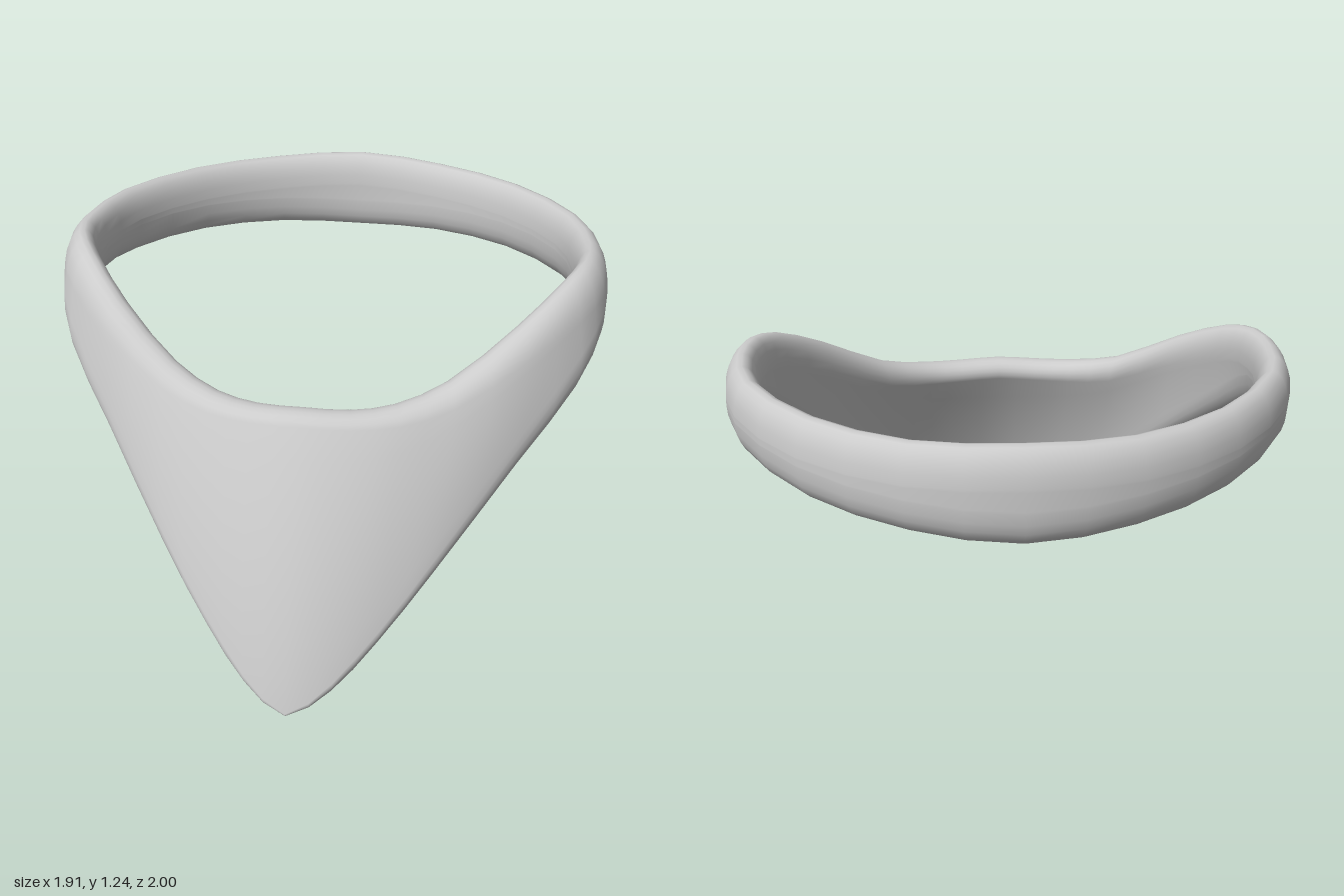
import * as THREE from 'three';

// Rails of one half, from the middle of the back to the front point: lower edge, upper edge
const RAILS = [
  [[0, 0.915, -0.945], [0, 1.225, -0.945]],
  [[0.325, 0.935, -0.88], [0.325, 1.215, -0.88]],
  [[0.62, 0.96, -0.695], [0.62, 1.22, -0.695]],
  [[0.83, 0.985, -0.41], [0.83, 1.23, -0.41]],
  [[0.9, 1.0, -0.16], [0.885, 1.235, -0.16]],
  [[0.9, 0.95, 0.05], [0.865, 1.24, 0.0]],
  [[0.84, 0.855, 0.21], [0.8, 1.215, 0.12]],
  [[0.665, 0.665, 0.41], [0.66, 1.125, 0.28]],
  [[0.43, 0.4, 0.68], [0.45, 0.99, 0.43]],
  [[0.27, 0.21, 0.825], [0.29, 0.945, 0.52]],
  [[0.14, 0.075, 0.915], [0.15, 0.935, 0.56]],
  [[0, 0, 0.96], [0, 0.94, 0.573]],
];

// Mirror one rail into a closed smooth curve
function closedRail(k) {
  const half = RAILS.map((r) => new THREE.Vector3(...r[k]));
  const other = half.slice(1, -1).reverse().map((p) => new THREE.Vector3(-p.x, p.y, p.z));
  return new THREE.CatmullRomCurve3([...half, ...other], true, 'centripetal');
}

// One side of a section: [height fraction, half-thickness fraction], with rounded ends
function sideProfile(capLow, capHigh) {
  const pts = [];
  const capSteps = 5, wallSteps = 8;
  for (let i = 0; i <= capSteps; i++) {
    const a = (i / capSteps) * Math.PI / 2;
    pts.push([capLow * (1 - Math.cos(a)), Math.sin(a)]);
  }
  for (let i = 1; i < wallSteps; i++) pts.push([capLow + (1 - capLow - capHigh) * i / wallSteps, 1]);
  for (let i = capSteps; i >= 0; i--) {
    const a = (i / capSteps) * Math.PI / 2;
    pts.push([1 - capHigh * (1 - Math.cos(a)), Math.sin(a)]);
  }
  return pts;
}

function ringGeometry() {
  const { lerp, smoothstep } = THREE.MathUtils;
  const lower = closedRail(0), upper = closedRail(1);
  const N = 44;
  const mid = (t) => lower.getPoint((t + 1) % 1).add(upper.getPoint((t + 1) % 1));
  const pos = [], index = [];
  let M = 0;
  for (let i = 0; i < N; i++) {
    const t = i / N;
    const b = lower.getPoint(t), e = upper.getPoint(t);
    const up = e.clone().sub(b);
    const height = up.length();
    const tangent = mid(t + 0.025).sub(mid(t - 0.025));
    const out = up.clone().cross(tangent).normalize();
    // the tall front thins toward its lower edge, bows outward and ends in a flat-cut tip
    const front = smoothstep(height, 0.3, 0.95);
    const tip = front * Math.max(0, 1 - Math.abs(b.x) / 0.2);
    const lowHalf = lerp(0.057, 0.038, front);
    const capLow = lerp(lerp(0.115, 0.05, front), 0.02, tip) / height;
    const capHigh = lerp(0.115, 0.055, front) / height;
    const bow = 0.035 * height * height;
    const side = sideProfile(Math.min(capLow, 0.45), Math.min(capHigh, 0.45));
    const loop = [...side, ...side.slice(1, -1).reverse().map(([u, w]) => [u, -w])];
    M = loop.length;
    for (const [u, w] of loop) {
      const n = out.clone();
      n.y *= lerp(1, smoothstep(u, 0, 0.2), tip);
      n.normalize();
      const p = b.clone().lerp(e, u);
      p.addScaledVector(n, w * lerp(lowHalf, 0.056, u) + bow * 4 * u * (1 - u));
      pos.push(p.x, p.y, p.z);
    }
  }
  for (let i = 0; i < N; i++) {
    for (let j = 0; j < M; j++) {
      const i2 = (i + 1) % N, j2 = (j + 1) % M;
      const a = i * M + j, c = i * M + j2, d = i2 * M + j, f = i2 * M + j2;
      index.push(a, c, d, d, c, f);
    }
  }
  const g = new THREE.BufferGeometry();
  g.setAttribute('position', new THREE.Float32BufferAttribute(pos, 3));
  g.setIndex(index);
  g.computeVertexNormals();
  return g;
}

export function createModel() {
  const group = new THREE.Group();
  group.name = 'pointedRing';
  // Band and front shield in one continuous skin
  const ring = new THREE.Mesh(ringGeometry(), new THREE.MeshStandardMaterial({ color: 0xcccccc }));
  ring.name = 'bandWithPointedShield';
  group.add(ring);
  return group;
}
